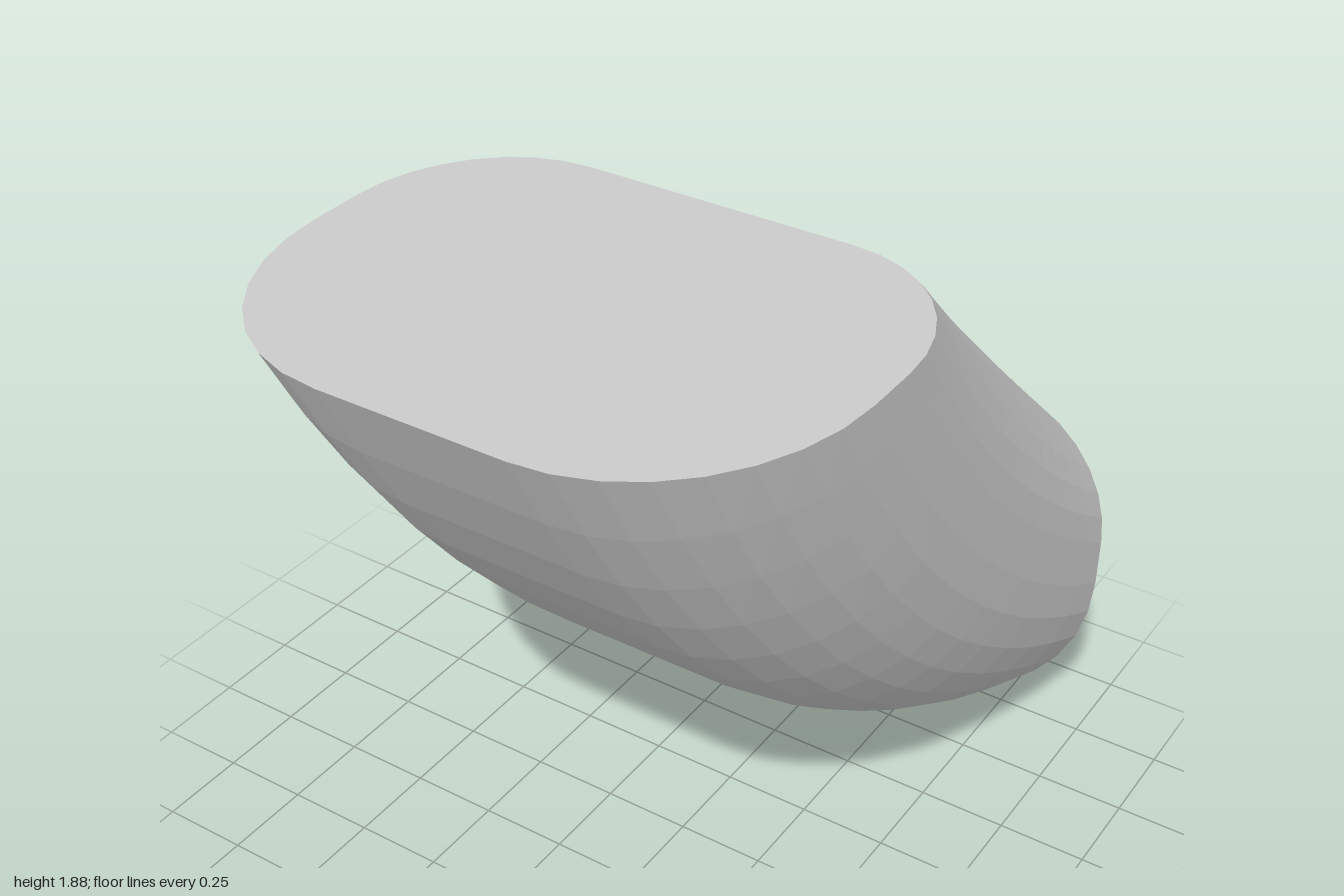
import * as THREE from 'three';

const HALF_WIDTH = 0.745;
const STEPS = 12;  // sections along the body
const CORNER = 8;  // segments per rounded corner

// Rounded outline: x across, s from the straight inner edge (0) to the bulging outer edge (1)
function outline() {
  const corners = [ // centre side, rx, rs, outer?
    [1, 0.5, 0.5, true], [-1, 0.5, 0.5, true],
    [-1, 0.375, 0.37, false], [1, 0.375, 0.37, false],
  ];
  const points = [];
  corners.forEach(([side, rx, rs, outer], c) => {
    for (let k = 0; k <= CORNER; k++) {
      const a = (c + k / CORNER) * Math.PI / 2;
      points.push([
        side * (HALF_WIDTH - rx) + rx * Math.cos(a),
        (outer ? 1 - rs : rs) + rs * Math.sin(a),
      ]);
    }
  });
  return points;
}

export function createModel() {
  const group = new THREE.Group();
  group.name = 'curvedBlock';

  // Side profile as (z, y): straight upper back edge and bowed lower front edge
  const inner = new THREE.LineCurve(new THREE.Vector2(-0.15, 1.88), new THREE.Vector2(-1, 1.09));
  const outer = new THREE.QuadraticBezierCurve(
    new THREE.Vector2(1, 1.88), new THREE.Vector2(0.356, 0.561), new THREE.Vector2(-1, 0));

  const ring = outline();
  const n = ring.length;
  const positions = [];
  const index = [];

  // Sections swept from the flat top to the flat back
  for (let j = 0; j <= STEPS; j++) {
    const a = inner.getPoint(j / STEPS);
    const b = outer.getPoint(j / STEPS);
    for (const [x, s] of ring) {
      const p = a.clone().lerp(b, s);
      positions.push(x, p.y, p.x);
    }
  }
  for (let j = 0; j < STEPS; j++) {
    for (let i = 0; i < n; i++) {
      const p = j * n + i, q = j * n + (i + 1) % n;
      index.push(p, q, q + n, p, q + n, p + n);
    }
  }

  // Flat end caps
  const last = STEPS * n;
  for (let i = 1; i < n - 1; i++) {
    index.push(0, i + 1, i);
    index.push(last, last + i, last + i + 1);
  }

  const indexed = new THREE.BufferGeometry();
  indexed.setAttribute('position', new THREE.Float32BufferAttribute(positions, 3));
  indexed.setIndex(index);
  const geometry = indexed.toNonIndexed();
  geometry.computeVertexNormals();

  const body = new THREE.Mesh(
    geometry, new THREE.MeshStandardMaterial({ color: 0xcccccc, flatShading: true }));
  body.name = 'body';
  group.add(body);
  return group;
}
